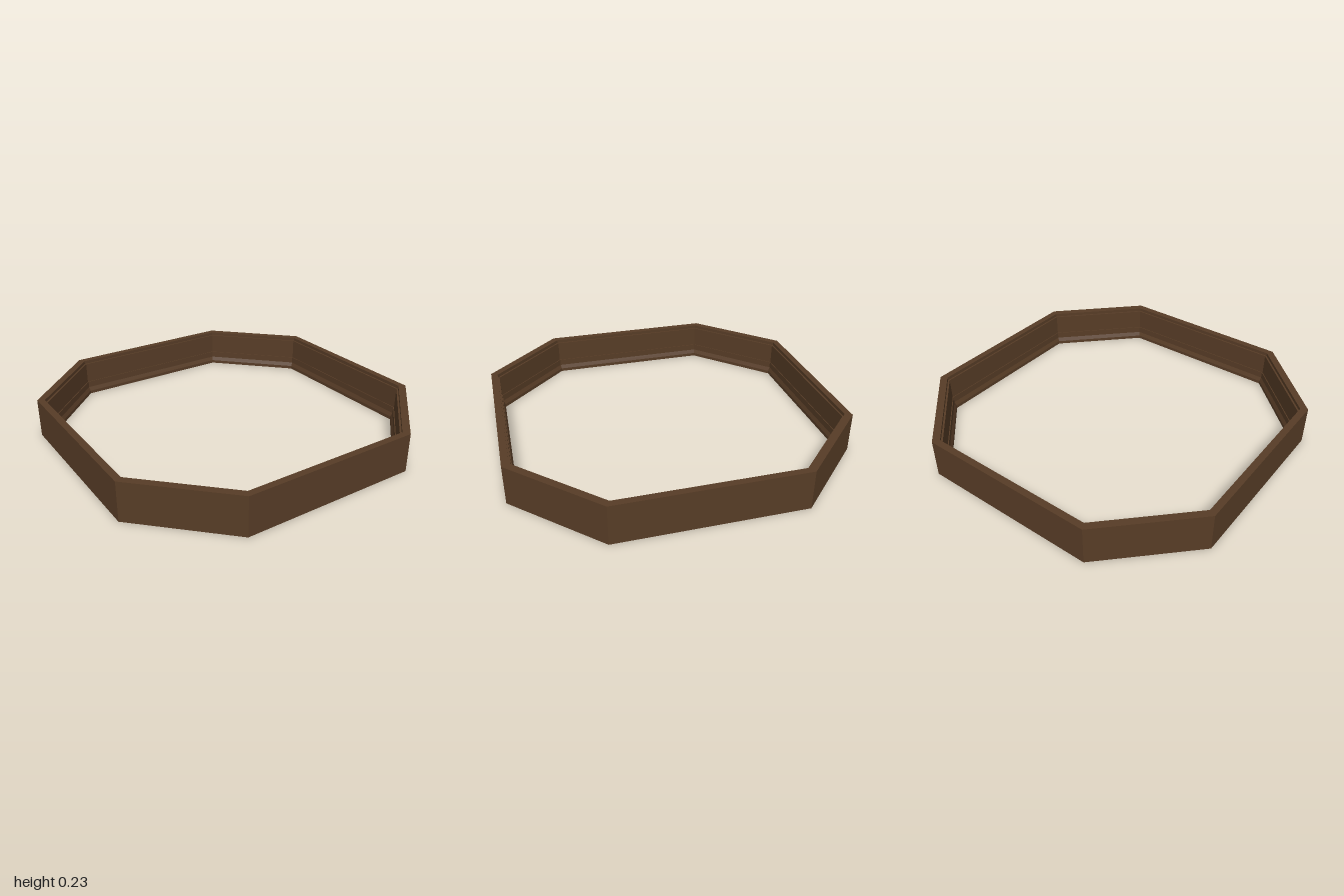
import * as THREE from 'three';

// Eight corners of the frame, long straight sides and shorter diagonals
const C = 0.54;
const corners = [
  [1, -C], [1, C], [C, 1], [-C, 1], [-1, C], [-1, -C], [-C, -1], [C, -1],
];

// Moulding cross-section as [scale of octagon, height], up the outside and down the inside
const profile = [
  [1, 0], [1, 0.235], // outer wall
  [0.96, 0.235], [0.96, 0.215], [0.95, 0.215], // top rim and rebate
  [0.95, 0.085], [0.945, 0.085], // inner wall
  [0.945, 0.045], [0.935, 0.02], [0.935, 0], // stepped bottom lip
];

// One mitred length of moulding between two corners
function railGeometry(a, b) {
  const positions = [];
  const at = ([x, z], [s, y]) => [x * s, y, z * s];
  profile.forEach((p, k) => {
    const q = profile[(k + 1) % profile.length];
    positions.push(
      ...at(a, p), ...at(a, q), ...at(b, p),
      ...at(a, q), ...at(b, q), ...at(b, p),
    );
  });
  const geometry = new THREE.BufferGeometry();
  geometry.setAttribute('position', new THREE.Float32BufferAttribute(positions, 3));
  geometry.computeVertexNormals();
  return geometry;
}

export function createModel() {
  const model = new THREE.Group();
  model.name = 'octagonalFrame';
  const wood = new THREE.MeshStandardMaterial({ color: 0x573c26 });
  wood.name = 'dark brown wood';

  const names = ['leftRail', 'frontLeftRail', 'frontRail', 'frontRightRail',
    'rightRail', 'backRightRail', 'backRail', 'backLeftRail'];
  names.forEach((name, i) => {
    const rail = new THREE.Mesh(railGeometry(corners[i], corners[(i + 1) % 8]), wood);
    rail.name = name;
    model.add(rail);
  });
  return model;
}
